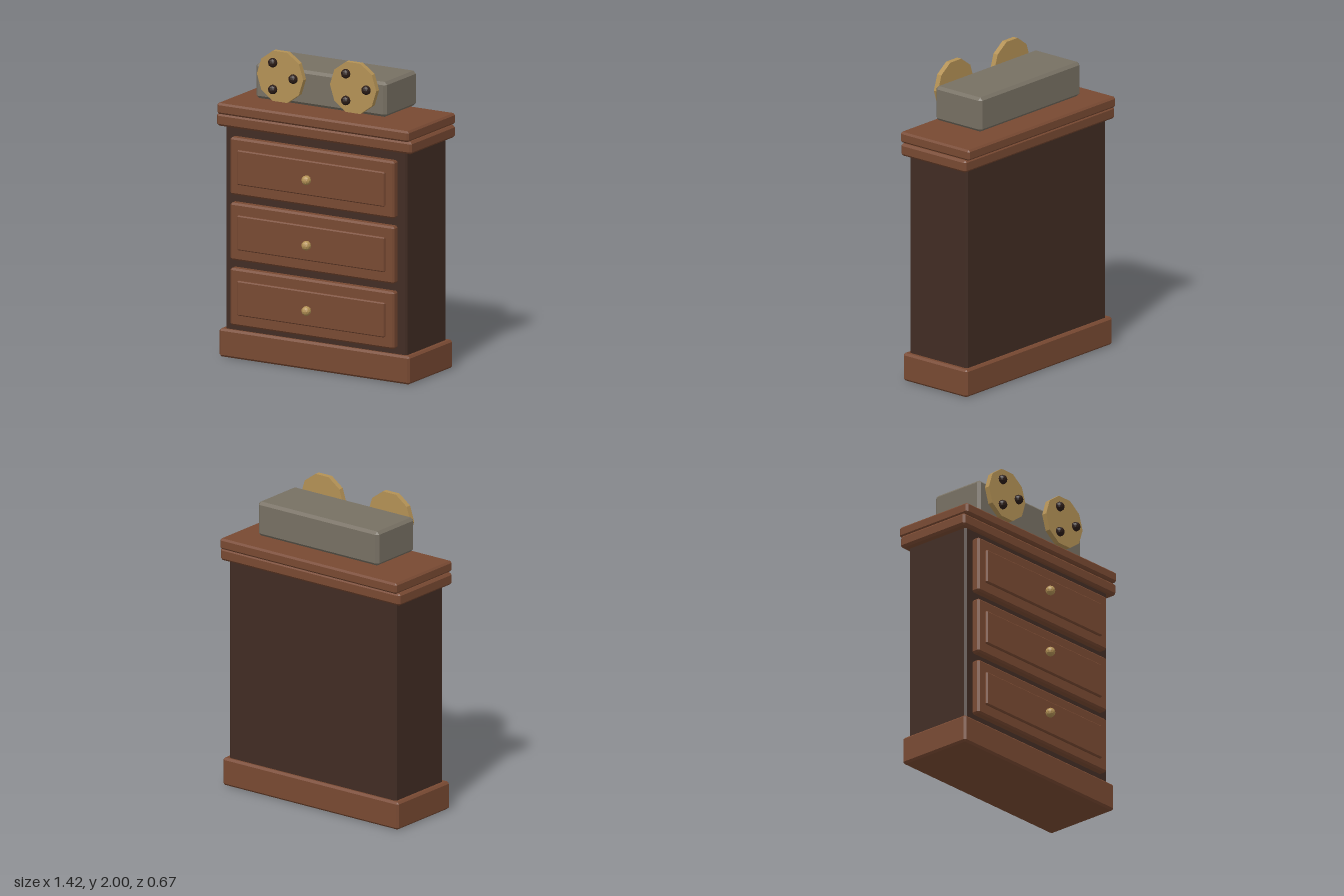
import * as THREE from 'three';
import { ConvexGeometry } from 'three/addons/geometries/ConvexGeometry.js';

export function createModel() {
  const model = new THREE.Group();
  model.name = 'chestOfDrawers';

  const material = (name, color) => {
    const m = new THREE.MeshStandardMaterial({ color, flatShading: true });
    m.name = name;
    return m;
  };
  const wood = material('reddishWood', 0x784932);
  const darkWood = material('darkWood', 0x412c23);
  const brass = material('brass', 0xb39155);
  const grey = material('warmGrey', 0x777063);
  const dark = material('darkStud', 0x2c1d18);

  const add = (name, geometry, mat, x = 0, y = 0, z = 0, parent = model) => {
    const mesh = new THREE.Mesh(geometry, mat);
    mesh.name = name;
    mesh.position.set(x, y, z);
    parent.add(mesh);
    return mesh;
  };

  // Box with single-facet chamfered edges, centred on x
  const chamferBox = (name, mat, halfX, y0, y1, z0, z1, b, parent = model) => {
    const hy = (y1 - y0) / 2, hz = (z1 - z0) / 2, points = [];
    for (const sx of [-1, 1]) for (const sy of [-1, 1]) for (const sz of [-1, 1]) {
      for (let axis = 0; axis < 3; axis++) {
        const inset = [b, b, b];
        inset[axis] = 0;
        points.push(new THREE.Vector3(
          sx * (halfX - inset[0]), sy * (hy - inset[1]), sz * (hz - inset[2])));
      }
    }
    return add(name, new ConvexGeometry(points), mat, 0, (y0 + y1) / 2, (z0 + z1) / 2, parent);
  };

  // Cabinet
  chamferBox('plinth', wood, 0.693, 0, 0.18, -0.31, 0.215, 0.013);
  chamferBox('carcass', darkWood, 0.66, 0.01, 1.52, -0.285, 0.188, 0.012);
  chamferBox('lowerTop', wood, 0.71, 1.475, 1.555, -0.315, 0.22, 0.014);
  chamferBox('upperTop', wood, 0.698, 1.555, 1.625, -0.333, 0.234, 0.012);

  // Faceted ball with one corner pointing straight up
  const ball = new THREE.IcosahedronGeometry(0.031, 1);
  ball.rotateZ(-Math.atan(2 / (1 + Math.sqrt(5))));

  // Three drawers, each with a raised panel and a knob
  for (let i = 0; i < 3; i++) {
    const y = 0.402 + i * 0.418;
    const drawer = new THREE.Group();
    drawer.name = 'drawer' + (i + 1);
    model.add(drawer);
    chamferBox('drawerFront', wood, 0.597, y - 0.183, y + 0.183, 0.18, 0.241, 0.012, drawer);
    chamferBox('drawerPanel', wood, 0.537, y - 0.111, y + 0.111, 0.22, 0.257, 0.007, drawer);
    add('drawerKnob', ball, brass, 0, y, 0.304, drawer);
  }

  // Grey box hovering just above the top
  chamferBox('topBox', grey, 0.476, 1.665, 1.888, -0.237, 0.138, 0.018);

  // Two ten-sided discs with three studs each
  const disc = new THREE.CylinderGeometry(0.169, 0.169, 0.034, 10);
  disc.rotateY(Math.PI / 2);
  disc.rotateX(Math.PI / 2);
  for (const side of [-1, 1]) {
    const reel = new THREE.Group();
    reel.name = side < 0 ? 'rightReel' : 'leftReel';
    reel.position.set(side * 0.266, 1.838, 0.165);
    model.add(reel);
    add('reelDisc', disc, brass, 0, 0, 0, reel);
    for (let i = 0; i < 3; i++) {
      const a = i * Math.PI * 2 / 3;
      add('reelStud', ball, dark, 0.099 * Math.cos(a), 0.099 * Math.sin(a), 0.022, reel);
    }
  }

  return model;
}
